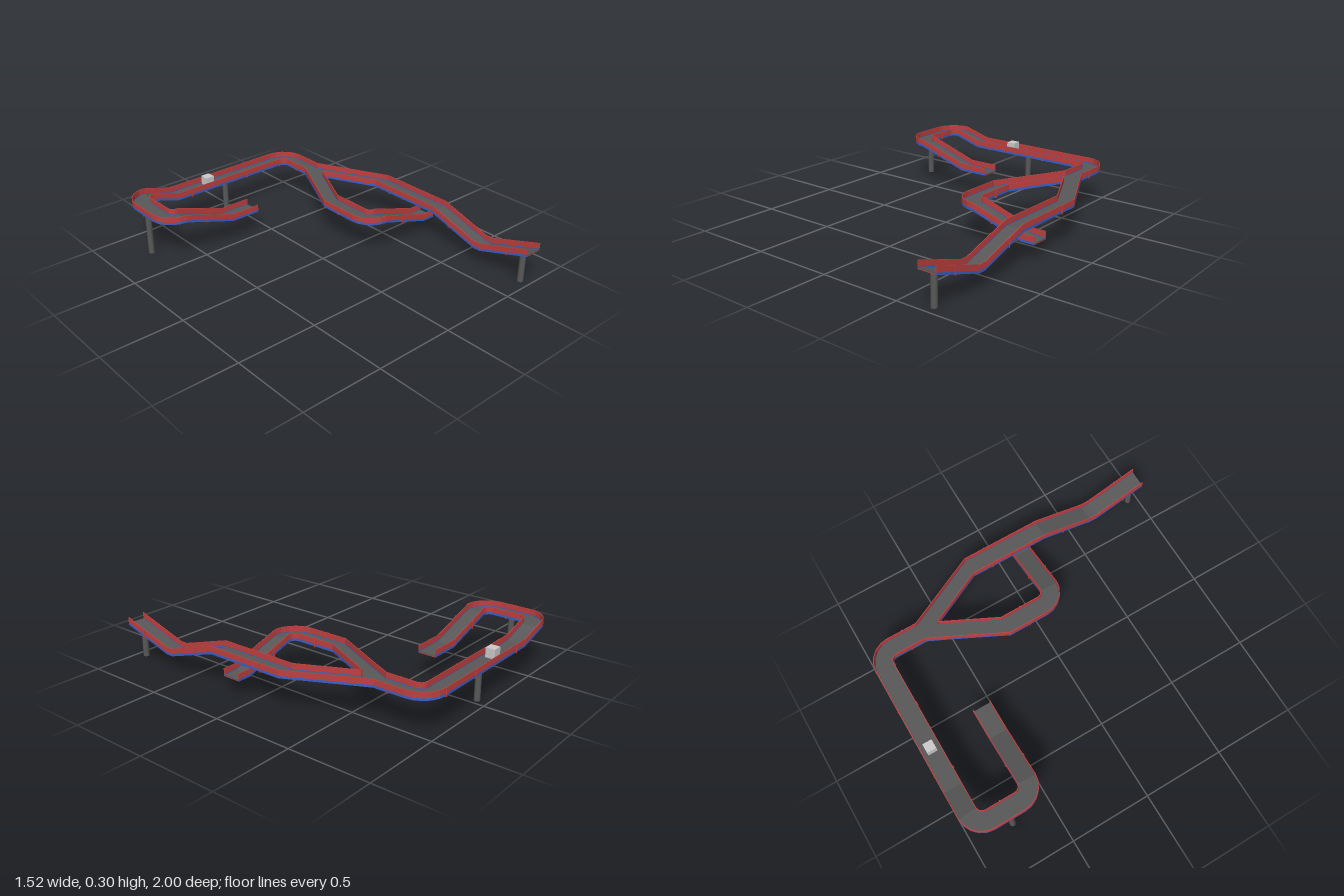
import * as THREE from 'three';

const W = 0.0575;      // half width of the channel
const T = 0.005;       // wall thickness
const BLUE_TOP = 0.014, WALL_TOP = 0.047;

const mat = (color) => new THREE.MeshStandardMaterial({ color });
const red = mat(0xc04040), blue = mat(0x3a5fc8), dark = mat(0x585858), grey = mat(0xcccccc);

// Sideways vector at every path point [x, y, z], mitred at bends; a fourth entry forces it along x
function withSides(path) {
  const normal = (a, b) => new THREE.Vector2(b[2] - a[2], a[0] - b[0]).normalize();
  return path.map((p, i) => {
    const before = normal(path[Math.max(i - 1, 0)], path[Math.max(i, 1)]);
    const last = path.length - 1;
    const after = normal(path[Math.min(i, last - 1)], path[Math.min(i + 1, last)]);
    const side = before.clone().add(after).normalize();
    side.divideScalar(side.dot(before));
    if (p[3]) side.set(1, 0);
    return { p, side };
  });
}

// Sweep a rectangle (sideways a0..a1, upwards y0..y1) along the path
function sweep(name, rows, a0, a1, y0, y1, material) {
  const rings = rows.map(({ p, side }) =>
    [[a0, y0], [a1, y0], [a1, y1], [a0, y1]].map(([a, y]) =>
      [p[0] + side.x * a, p[1] + y, p[2] + side.y * a]));
  const pos = [];
  const quad = (a, b, c, d) => pos.push(...a, ...b, ...c, ...a, ...c, ...d);
  for (let i = 0; i < rings.length - 1; i++) {
    for (let k = 0; k < 4; k++) {
      const n = (k + 1) % 4;
      quad(rings[i][k], rings[i][n], rings[i + 1][n], rings[i + 1][k]);
    }
  }
  quad(...rings[rings.length - 1]);
  quad(...[...rings[0]].reverse());
  const geo = new THREE.BufferGeometry();
  geo.setAttribute('position', new THREE.Float32BufferAttribute(pos, 3));
  geo.computeVertexNormals();
  const mesh = new THREE.Mesh(geo, material);
  mesh.name = name;
  return mesh;
}

// One wall: blue lower band, red upper band
function addWall(group, rows, sign) {
  const [a0, a1] = sign > 0 ? [W - T, W] : [-W, T - W];
  group.add(sweep('wallBand', rows, a0, a1, 0, BLUE_TOP, blue));
  group.add(sweep('wallRail', rows, a0, a1, BLUE_TOP, WALL_TOP, red));
}

// Channel: floor, underside and walls; wallStart skips the first rows of a wall
function channel(name, path, wallStart = { 1: 0, [-1]: 0 }) {
  const group = new THREE.Group();
  group.name = name;
  const rows = withSides(path);
  group.add(sweep('floor', rows, T - W, W - T, 0.005, 0.01, dark));
  group.add(sweep('underside', rows, T - W, W - T, 0, 0.005, red));
  for (const sign of [1, -1]) addWall(group, rows.slice(wallStart[sign]), sign);
  return group;
}

// Quarter bend, angles in degrees
function bend(cx, y, cz, from, to, r = 0.093, steps = 5) {
  return Array.from({ length: steps + 1 }, (_, i) => {
    const a = THREE.MathUtils.degToRad(from + (to - from) * i / steps);
    return [cx + r * Math.cos(a), y, cz + r * Math.sin(a)];
  });
}

// Thin joint collar around the outside of the channel
function collar(x, y, z, dx, dy, dz) {
  const h = 0.003, e = 0.004;
  const rows = withSides([[x - dx * h, y - dy * h, z - dz * h], [x + dx * h, y + dy * h, z + dz * h]]);
  const group = new THREE.Group();
  group.name = 'jointCollar';
  group.add(sweep('collarLeft', rows, W, W + e, -e, WALL_TOP, red));
  group.add(sweep('collarRight', rows, -W - e, -W, -e, WALL_TOP, red));
  group.add(sweep('collarBase', rows, -W, W, -e, 0, red));
  return group;
}

export function createModel() {
  const model = new THREE.Group();
  model.name = 'forkedTrack';
  const HIGH = 0.255, MID = 0.203, LOW = 0.15, FLOOR = 0.1;

  // Hooked back section, from the low open end to the fork
  model.add(channel('backTrack', [
    [-0.09, LOW, -0.57], [-0.28, LOW, -0.57],
    ...bend(-0.607, HIGH, -0.663, 90, 180),
    ...bend(-0.607, HIGH, -0.847, 180, 270),
    [-0.43, MID, -0.94],
    ...bend(0.382, MID, -0.847, 270, 360),
    [0.475, MID, -0.66],
  ]));

  // Branches lean out from the fork; the inner walls start at the apex
  const forkPath = (s) => [
    [0.475, MID, -0.66, 1], [0.475 + s * 0.0575, MID, -0.542, 1], [0.4725 + s * 0.2225, MID, -0.21, 1]];
  model.add(channel('leftwardDipTrack', [
    ...forkPath(1),
    [0.695, MID, 0.29], [0.695, FLOOR, 0.622], [0.695, FLOOR, 0.668], [0.695, MID, 1],
  ], { 1: 0, [-1]: 1 }));
  model.add(channel('underpassTrack', [
    ...forkPath(-1),
    ...bend(0.343, MID, 0.042, 180, 90),
    [0.67, FLOOR, 0.135], [0.755, FLOOR, 0.135],
  ], { 1: 1, [-1]: 0 }));

  // Joint collars
  const joints = [
    [-0.475, 0.213, -0.57, -1, 0.32, 0], [-0.7, HIGH, -0.755, 0, 0, -1],
    [-0.33, MID, -0.94, 1, 0, 0], [0.1, MID, -0.94, 1, 0, 0], [0.38, MID, -0.94, 1, 0, 0],
    [0.475, MID, -0.75, 0, 0, 1], [0.25, MID, -0.08, 0, 0, 1], [0.695, MID, -0.08, 0, 0, 1],
    [0.475, 0.161, 0.135, 1, -0.31, 0], [0.695, 0.163, 0.42, 0, -0.31, 1],
    [0.695, 0.16, 0.86, 0, 0.31, 1],
  ];
  for (const j of joints) model.add(collar(...j));

  // Support pillars
  for (const [x, z, h] of [[-0.735, -0.745, HIGH], [-0.04, -0.935, MID], [0.688, 0.94, 0.18]]) {
    const pillar = new THREE.Mesh(new THREE.CylinderGeometry(0.018, 0.018, h, 20), dark);
    pillar.name = 'pillar';
    pillar.position.set(x, h / 2, z);
    model.add(pillar);
  }

  // Loose block on the back straight
  const block = new THREE.Mesh(new THREE.BoxGeometry(0.058, 0.058, 0.058), grey);
  block.name = 'block';
  block.position.set(-0.17, 0.243, -0.94);
  model.add(block);

  return model;
}
